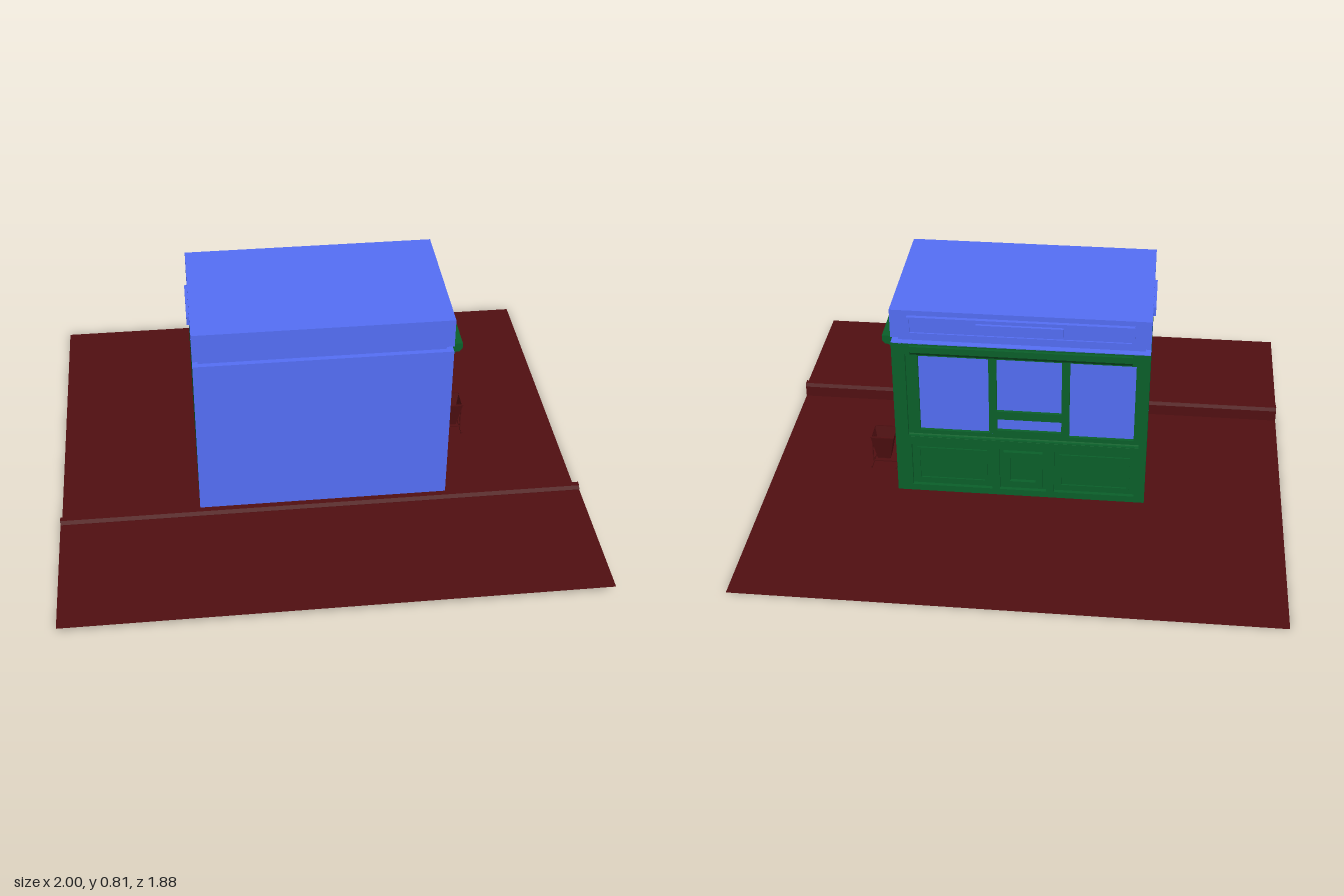
import * as THREE from 'three';

const BLUE = new THREE.MeshStandardMaterial({ color: 0x546ef4 });
const GREEN = new THREE.MeshStandardMaterial({ color: 0x0a5f2a });
const BROWN = new THREE.MeshStandardMaterial({ color: 0x500f11, side: THREE.DoubleSide });

function add(parent, name, geometry, material) {
  const mesh = new THREE.Mesh(geometry, material);
  mesh.name = name;
  parent.add(mesh);
  return mesh;
}

// Box given by its limits on each axis
function box(parent, name, mat, x0, x1, y0, y1, z0, z1) {
  const mesh = add(parent, name, new THREE.BoxGeometry(x1 - x0, y1 - y0, z1 - z0), mat);
  mesh.position.set((x0 + x1) / 2, (y0 + y1) / 2, (z0 + z1) / 2);
}

// Horizontal sheet across the full width
function sheet(parent, name, mat, z0, z1, y) {
  const mesh = add(parent, name, new THREE.PlaneGeometry(2, z1 - z0), mat);
  mesh.rotation.x = -Math.PI / 2;
  mesh.position.set(0, y, (z0 + z1) / 2);
}

function outline(target, [x0, x1, y0, y1]) {
  target.moveTo(x0, y0);
  target.lineTo(x1, y0);
  target.lineTo(x1, y1);
  target.lineTo(x0, y1);
  target.closePath();
  return target;
}

// Flat panel with rectangular openings, extruded from z0 to z1
function frame(parent, name, mat, rect, holes, z0, z1) {
  const shape = outline(new THREE.Shape(), rect);
  holes.forEach((h) => shape.holes.push(outline(new THREE.Path(), h)));
  const geo = new THREE.ExtrudeGeometry(shape, { depth: z1 - z0, bevelEnabled: false });
  const mesh = add(parent, name, geo, mat);
  mesh.position.z = z0;
  return mesh;
}

// Profile in (out, y) swept along the wall from u0 to u1
function moulding(parent, name, mat, points, u0, u1) {
  const shape = new THREE.Shape(points.map(([a, b]) => new THREE.Vector2(a, b)));
  const geo = new THREE.ExtrudeGeometry(shape, { depth: u1 - u0, bevelEnabled: false });
  geo.rotateY(-Math.PI / 2);
  add(parent, name, geo, mat).position.x = u1;
}

// Counter side at -z: local z is the distance outward from the core
function counterWall() {
  const wall = new THREE.Group();
  wall.name = 'counterWall';
  wall.rotation.y = Math.PI;
  wall.position.z = -0.235;
  const panels = [[-0.43, -0.12, 0.03, 0.22], [-0.09, 0.09, 0.03, 0.22], [0.12, 0.43, 0.03, 0.22]];
  frame(wall, 'outerFrame', GREEN, [-0.49, 0.47, 0.003, 0.67],
    [[-0.44, 0.44, 0.26, 0.625], ...panels], 0.015, 0.03);
  frame(wall, 'windowFrame', GREEN, [-0.488, 0.468, 0.003, 0.67],
    [[-0.395, -0.13, 0.28, 0.61], [-0.1, 0.145, 0.38, 0.61],
      [-0.1, 0.145, 0.295, 0.345], [0.175, 0.42, 0.28, 0.61]], 0, 0.015);
  box(wall, 'windowGlass', BLUE, -0.43, 0.44, 0.27, 0.62, 0, 0.003);
  for (const [a, b, c, d] of [panels[0], panels[2]]) {
    frame(wall, 'panelTrim', GREEN, [a + 0.02, b - 0.02, c + 0.02, d - 0.02],
      [[a + 0.03, b - 0.03, c + 0.03, d - 0.03]], 0.015, 0.021);
  }
  frame(wall, 'hatchFrame', GREEN, [-0.075, 0.075, 0.045, 0.205],
    [[-0.05, 0.05, 0.07, 0.18]], 0.015, 0.03);
  moulding(wall, 'counterLedge', GREEN,
    [[0.015, 0.24], [0.031, 0.24], [0.031, 0.256], [0.015, 0.262]], -0.44, 0.44);
  moulding(wall, 'shutterBox', GREEN,
    [[0.015, 0.622], [0.028, 0.622], [0.042, 0.638], [0.042, 0.663], [0.015, 0.663]], -0.42, 0.405);
  return wall;
}

// Entrance side at +x: local x runs toward -z
function doorWall() {
  const wall = new THREE.Group();
  wall.name = 'doorWall';
  wall.rotation.y = Math.PI / 2;
  wall.position.x = 0.46;
  frame(wall, 'outerFrame', GREEN, [-0.3, 0.235, 0.003, 0.67],
    [[-0.265, -0.03, 0.015, 0.645], [-0.005, 0.22, 0.015, 0.645]], 0, 0.03);

  // Door with two recessed panels
  const doorPanels = [[-0.24, -0.055, 0.035, 0.22], [-0.24, -0.055, 0.235, 0.62]];
  frame(wall, 'door', GREEN, [-0.262, -0.033, 0.018, 0.642], doorPanels, 0.015, 0.028);
  box(wall, 'doorBacking', GREEN, -0.262, -0.033, 0.018, 0.642, 0, 0.019);
  for (const y of [0.13, 0.52]) {
    box(wall, 'doorHinge', GREEN, -0.268, -0.261, y - 0.018, y + 0.018, 0.02, 0.033);
  }
  const grip = new THREE.CatmullRomCurve3([[0.026, 0.31], [0.043, 0.318], [0.043, 0.358], [0.026, 0.366]]
    .map(([z, y]) => new THREE.Vector3(-0.047, y, z)));
  add(wall, 'doorHandle', new THREE.TubeGeometry(grip, 12, 0.002, 6), GREEN);
  for (const u of [-0.21, -0.085]) box(wall, 'doorBolt', GREEN, u - 0.003, u + 0.003, 0.257, 0.263, 0.018, 0.025);

  // Side window above a closed panel
  frame(wall, 'sideWindowFrame', GREEN, [-0.005, 0.22, 0.015, 0.645],
    [[0.03, 0.185, 0.245, 0.615], [0.012, 0.205, 0.035, 0.22]], 0.004, 0.018);
  box(wall, 'sideWindowGlass', BLUE, 0.02, 0.195, 0.235, 0.625, 0, 0.006);
  box(wall, 'panelRail', GREEN, -0.004, 0.22, 0.222, 0.234, 0.01, 0.03);

  // Shutter boxes above the door and the window
  for (const u of [-0.24, 0.02]) {
    moulding(wall, 'shutterBox', GREEN,
      [[0.015, 0.617], [0.045, 0.617], [0.051, 0.625], [0.063, 0.625], [0.075, 0.638], [0.075, 0.66], [0.015, 0.66]],
      u, u + 0.18);
  }
  return wall;
}

function roof() {
  const group = new THREE.Group();
  group.name = 'roof';
  box(group, 'wallCap', BLUE, -0.47, 0.49, 0.669, 0.672, -0.265, 0.305);
  box(group, 'roofNeck', BLUE, -0.45, 0.465, 0.672, 0.695, -0.24, 0.285);
  box(group, 'fascia', BLUE, -0.47, 0.49, 0.695, 0.81, -0.265, 0.305);
  frame(group, 'signFrame', BLUE, [-0.41, 0.425, 0.717, 0.79],
    [[-0.4, 0.415, 0.725, 0.782]], -0.28, -0.264);
  box(group, 'signBoard', BLUE, -0.405, 0.42, 0.72, 0.787, -0.274, -0.264);
  // Blank plaques on three sides
  box(group, 'backPlaque', BLUE, -0.15, 0.17, 0.737, 0.773, -0.285, -0.272);
  box(group, 'leftPlaque', BLUE, 0.488, 0.498, 0.737, 0.773, -0.075, 0.12);
  box(group, 'rightPlaque', BLUE, -0.48, -0.469, 0.737, 0.773, -0.09, 0.125);
  return group;
}

// Open square bin hung in a stand of two posts
function litterBin() {
  const group = new THREE.Group();
  group.name = 'litterBin';
  const shell = new THREE.CylinderGeometry(0.046 * Math.SQRT2, 0.026 * Math.SQRT2, 0.11, 4, 1, true)
    .toNonIndexed();
  shell.rotateY(Math.PI / 4);
  shell.computeVertexNormals();
  add(group, 'binShell', shell, BROWN).position.y = 0.095;
  box(group, 'binFloor', BROWN, -0.026, 0.026, 0.038, 0.042, -0.026, 0.026);
  const rim = frame(group, 'binRim', BROWN, [-0.047, 0.047, -0.047, 0.047],
    [[-0.041, 0.041, -0.041, 0.041]], 0, 0.004);
  rim.rotation.x = -Math.PI / 2;
  rim.position.set(0, 0.147, 0);
  for (const s of [-1, 1]) {
    const x = s * 0.049;
    box(group, 'standPost', BROWN, x - 0.002, x + 0.002, 0.004, 0.128, -0.003, 0.003);
    box(group, 'standFoot', BROWN, x - 0.003, x + 0.003, 0, 0.007, -0.042, 0.042);
    box(group, 'standPivot', BROWN, x - 0.008, x + 0.002, 0.122, 0.128, -0.003, 0.003);
  }
  box(group, 'standBar', BROWN, -0.049, 0.049, 0.005, 0.01, -0.002, 0.002);
  group.position.set(0.573, 0, -0.09);
  return group;
}

export function createModel() {
  const model = new THREE.Group();
  model.name = 'kiosk';

  // Lower pavement, raised strip in front, and the kerb between them
  sheet(model, 'pavement', BROWN, -0.938, 0.37, 0);
  sheet(model, 'raisedStrip', BROWN, 0.398, 0.938, 0.043);
  moulding(model, 'kerb', BROWN,
    [[0.365, 0], [0.403, 0], [0.4, 0.045], [0.393, 0.06], [0.372, 0.06], [0.366, 0.045]], -1, 1);

  // Core with green walls and a blue sheet at the front
  box(model, 'bodyCore', GREEN, -0.47, 0.46, 0.003, 0.67, -0.235, 0.3);
  box(model, 'plainWall', BLUE, -0.47, 0.49, 0.003, 0.67, 0.3, 0.305);
  model.add(counterWall(), doorWall(), roof(), litterBin());
  return model;
}
